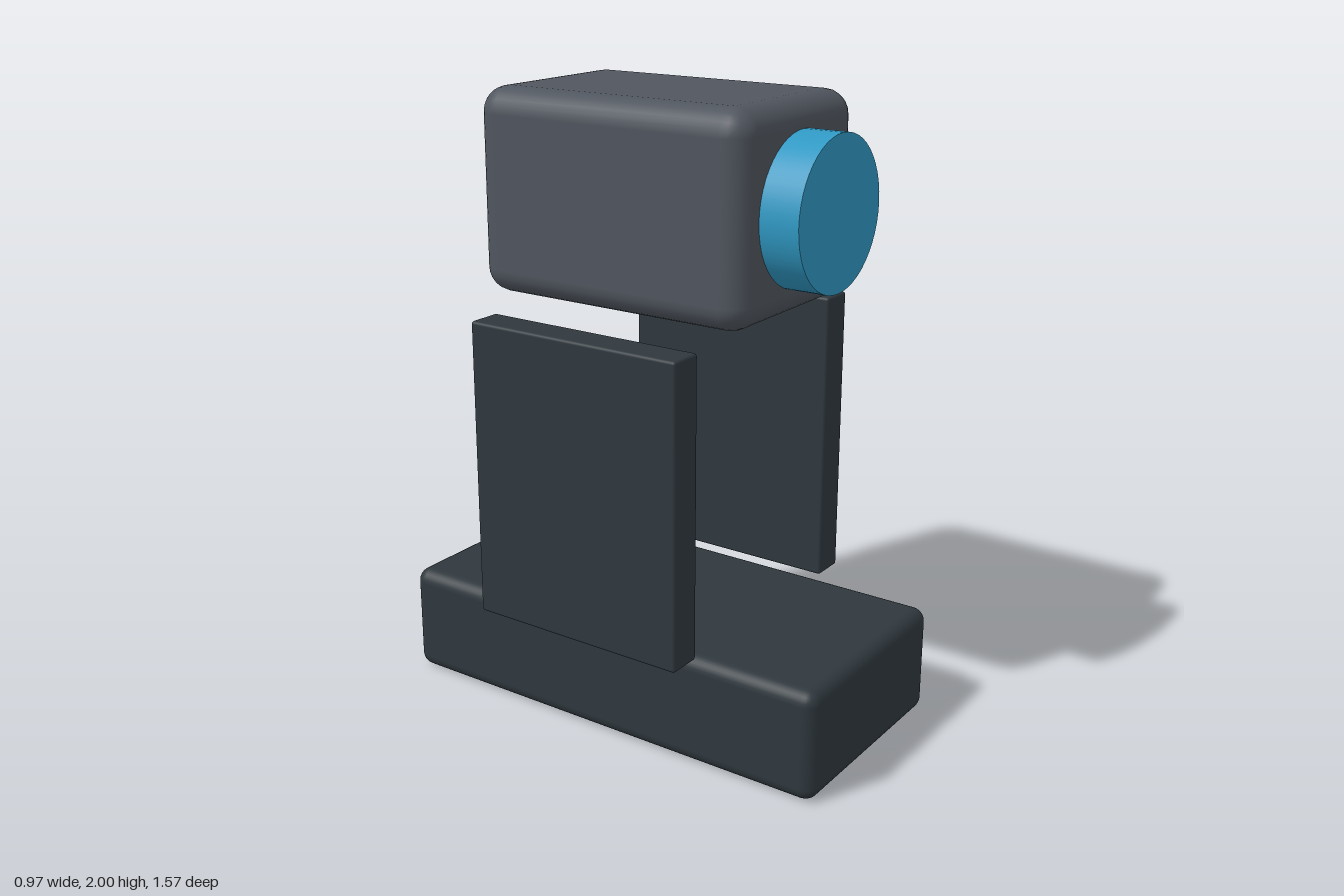
import * as THREE from 'three';
import { RoundedBoxGeometry } from 'three/addons/geometries/RoundedBoxGeometry.js';

export function createModel() {
  const group = new THREE.Group();
  const material = (name, color) => {
    const m = new THREE.MeshStandardMaterial({ color });
    m.name = name;
    return m;
  };
  const darkSlate = material('darkSlate', 0x2f383e);
  const grey = material('grey', 0x50565f);
  const blue = material('blue', 0x3099c4);

  const add = (name, geometry, mat, x, y, z) => {
    const mesh = new THREE.Mesh(geometry, mat);
    mesh.name = name;
    mesh.position.set(x, y, z);
    group.add(mesh);
    return mesh;
  };

  // long rounded foot
  add('base', new RoundedBoxGeometry(0.74, 0.36, 1.565, 3, 0.045), darkSlate, 0, 0.18, 0);

  // upright side plates
  for (const side of [1, -1]) {
    add(side > 0 ? 'leftPlate' : 'rightPlate',
      new RoundedBoxGeometry(0.115, 0.96, 0.75, 3, 0.01), darkSlate, side * 0.428, 0.843, 0);
  }

  // rounded head housing
  add('head', new RoundedBoxGeometry(0.64, 0.636, 0.965, 3, 0.08), grey, 0, 1.682, 0);

  // round lens on the front of the head
  const lens = new THREE.CylinderGeometry(0.233, 0.233, 0.19, 48);
  lens.rotateX(Math.PI / 2);
  add('lens', lens, blue, 0, 1.683, 0.515);

  return group;
}
